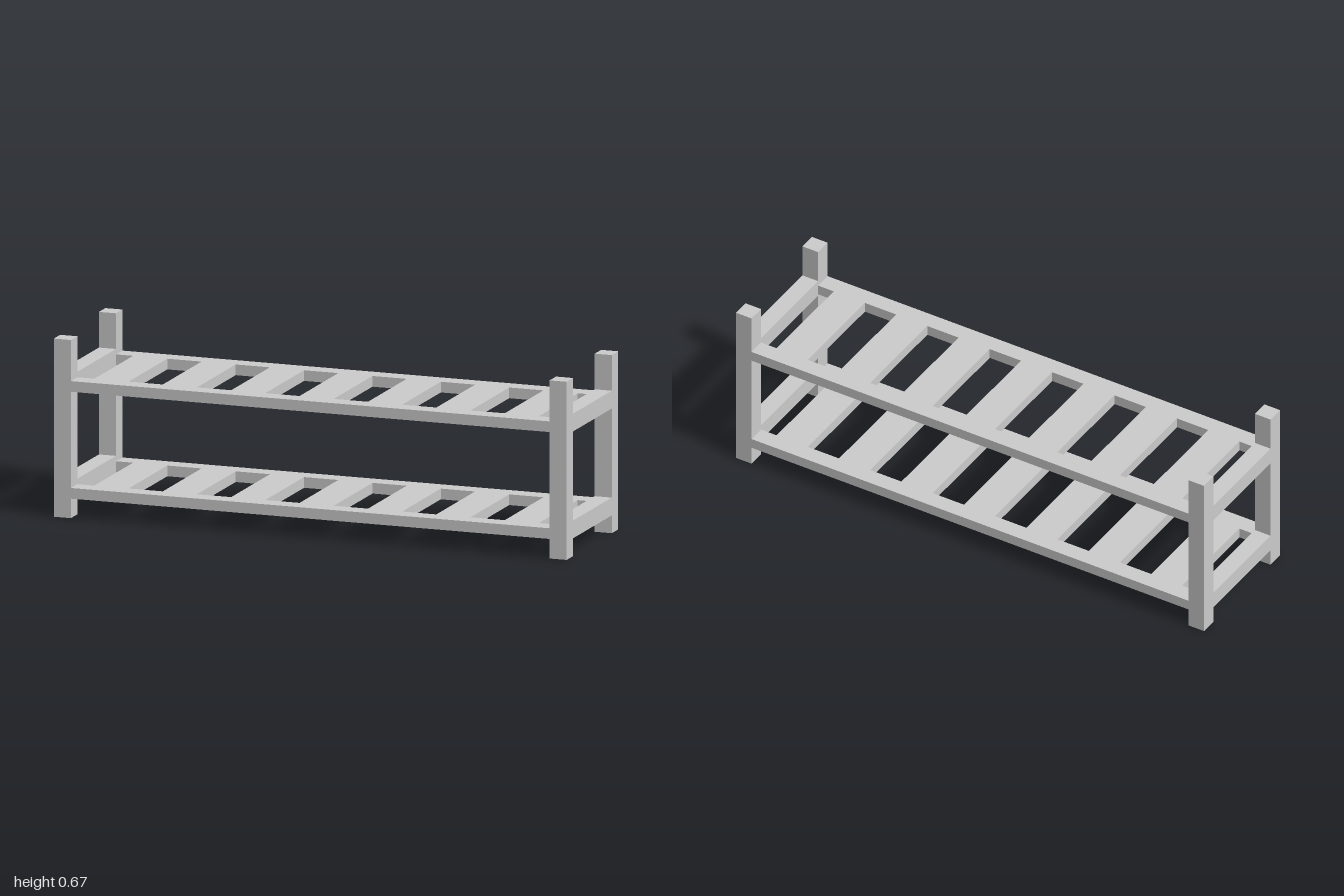
import * as THREE from 'three';

const material = new THREE.MeshStandardMaterial({ color: 0xcccccc, flatShading: true });

function addBox(parent, name, size, position) {
  const mesh = new THREE.Mesh(new THREE.BoxGeometry(...size), material);
  mesh.name = name;
  mesh.position.set(...position);
  parent.add(mesh);
}

export function createModel() {
  const rack = new THREE.Group();
  rack.name = 'slattedRack';

  const unit = 1 / 15; // width of the square timber
  const postX = 1 - unit / 2;
  const postZ = 3.5 * unit;
  const height = 10 * unit;
  const thickness = 0.04; // long rails and slats

  // Corner posts
  for (const x of [-postX, postX]) {
    for (const z of [-postZ, postZ]) {
      const name = (z > 0 ? 'front' : 'back') + (x > 0 ? 'Left' : 'Right') + 'Post';
      addBox(rack, name, [unit, height, unit], [x, height / 2, z]);
    }
  }

  // Two identical shelves
  for (const [name, y] of [['lowerShelf', 0.1], ['upperShelf', 0.5]]) {
    const shelf = new THREE.Group();
    shelf.name = name;
    shelf.position.y = y;
    rack.add(shelf);

    // Deep end rails between the posts
    for (const x of [-postX, postX]) {
      addBox(shelf, x > 0 ? 'leftEndRail' : 'rightEndRail', [unit, unit, 6 * unit], [x, 0, 0]);
    }

    // Thin long rails, set slightly below the centre of the end rails
    for (const z of [-postZ, postZ]) {
      addBox(shelf, z > 0 ? 'frontRail' : 'backRail', [28 * unit, thickness, unit], [0, -0.007, z]);
    }

    // Evenly spaced slats, flush with the long rails
    for (let i = -3; i <= 3; i++) {
      addBox(shelf, 'slat', [2 * unit, thickness, 6 * unit], [i * 4 * unit, -0.007, 0]);
    }
  }
  return rack;
}
